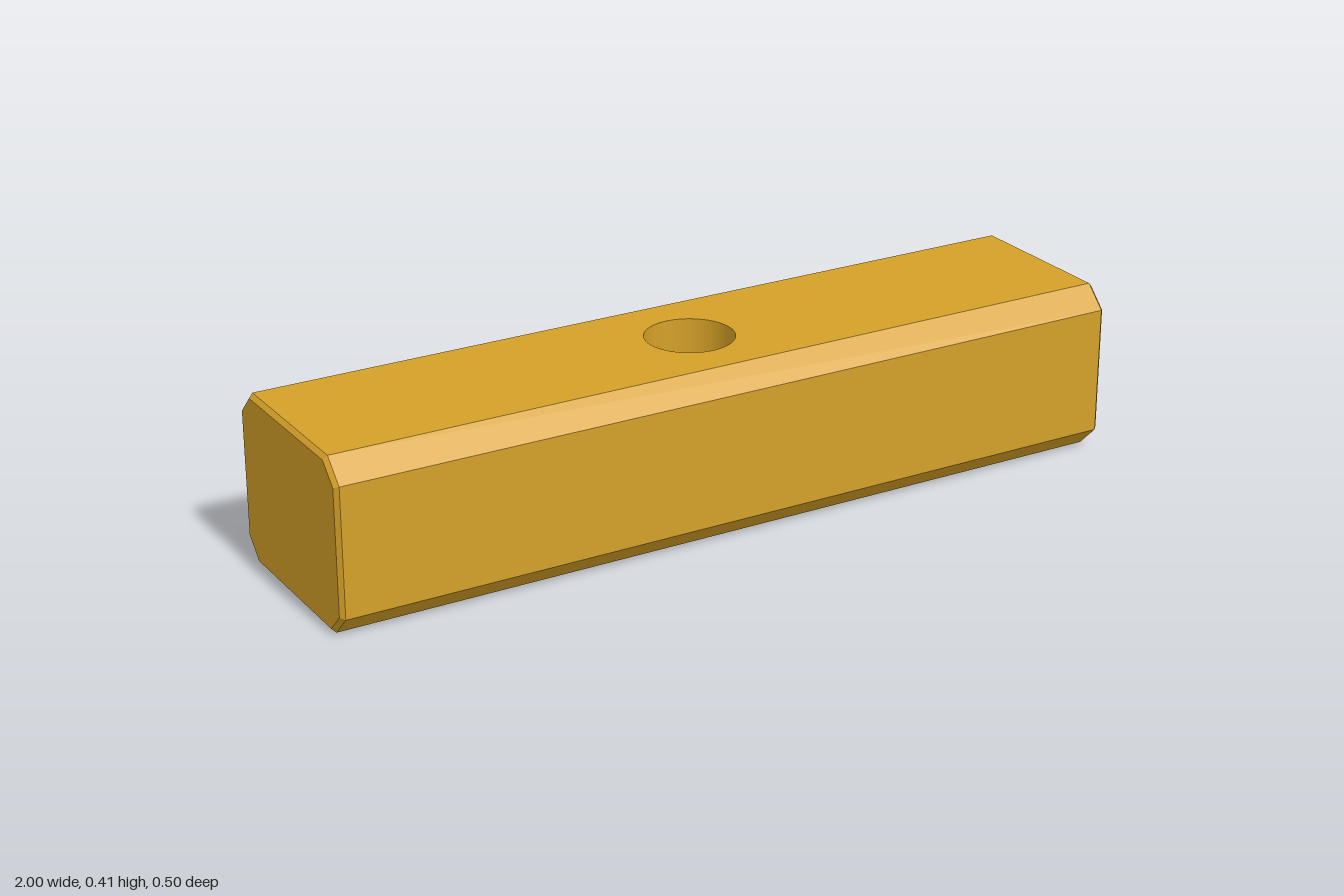
import * as THREE from 'three';

const HEIGHT = 0.412, HALF_DEPTH = 0.248, CUT = 0.052, BEVEL = 0.01, RADIUS = 0.105;

// Octagonal cross-section as [z, y], starting with the top edge, going clockwise toward +z
function section(inset, cut) {
  const z = HALF_DEPTH - inset, top = HEIGHT - inset, low = inset;
  return [
    [-z + cut, top], [z - cut, top], [z, top - cut], [z, low + cut],
    [z - cut, low], [-z + cut, low], [-z, low + cut], [-z, top - cut],
  ];
}

// Bar skin: four cross-sections joined along x, leaving the two drilled faces open
function barGeometry() {
  const outer = section(0, CUT), inner = section(BEVEL, CUT - 0.006);
  const rings = [[-1, inner], [-1 + BEVEL, outer], [1 - BEVEL, outer], [1, inner]]
    .map(([x, pts]) => pts.map(([z, y]) => [x, y, z]));
  const pos = [];
  const tri = (a, b, c) => pos.push(...a, ...b, ...c);
  for (let i = 0; i < 3; i++) {
    for (let j = 0; j < 8; j++) {
      if (i === 1 && j % 4 === 0) continue; // top and bottom are drilled faces
      const k = (j + 1) % 8;
      tri(rings[i][j], rings[i][k], rings[i + 1][k]);
      tri(rings[i][j], rings[i + 1][k], rings[i + 1][j]);
    }
  }
  for (let j = 1; j < 7; j++) {
    tri(rings[3][0], rings[3][j], rings[3][j + 1]);
    tri(rings[0][0], rings[0][j + 1], rings[0][j]);
  }
  const geo = new THREE.BufferGeometry();
  geo.setAttribute('position', new THREE.Float32BufferAttribute(pos, 3));
  geo.computeVertexNormals();
  return geo;
}

// Flat rectangle with the round hole in its middle
function drilledFace() {
  const x = 1 - BEVEL, z = HALF_DEPTH - CUT;
  const shape = new THREE.Shape([
    new THREE.Vector2(-x, -z), new THREE.Vector2(x, -z),
    new THREE.Vector2(x, z), new THREE.Vector2(-x, z),
  ]);
  shape.holes.push(new THREE.Path().absarc(0, 0, RADIUS, 0, Math.PI * 2, true));
  return new THREE.ShapeGeometry(shape, 64);
}

export function createModel() {
  const group = new THREE.Group();
  group.name = 'drilledBar';
  const gold = new THREE.MeshStandardMaterial({ color: 0xd4a028 });
  const boreGold = new THREE.MeshStandardMaterial({ color: 0xd4a028, side: THREE.DoubleSide });
  const add = (name, geo, mat = gold) => {
    const mesh = new THREE.Mesh(geo, mat);
    mesh.name = name;
    group.add(mesh);
  };

  add('chamferedBar', barGeometry());
  add('topFace', drilledFace().rotateX(-Math.PI / 2).translate(0, HEIGHT, 0));
  add('bottomFace', drilledFace().rotateX(Math.PI / 2));

  // Wall of the through hole
  const bore = new THREE.CylinderGeometry(RADIUS, RADIUS, HEIGHT, 64, 1, true);
  add('throughHole', bore.translate(0, HEIGHT / 2, 0), boreGold);
  return group;
}
